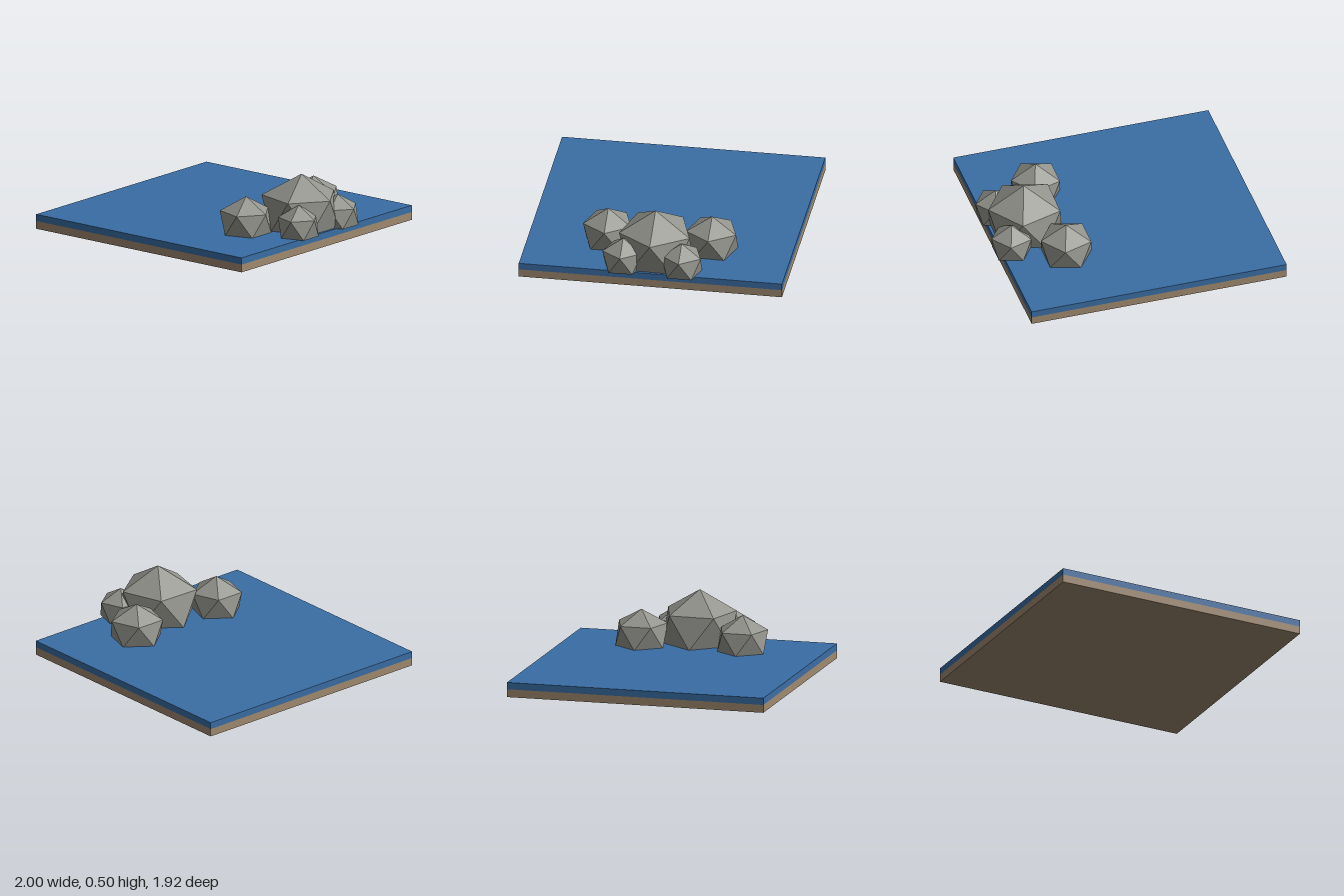
import * as THREE from 'three';

const DECK = 0.108; // height of the water surface

const material = (color) => new THREE.MeshStandardMaterial({ color, flatShading: true });

function slab(name, y0, y1, color) {
  const mesh = new THREE.Mesh(new THREE.BoxGeometry(1.925, y1 - y0, 1.925), material(color));
  mesh.position.set(-0.0375, (y0 + y1) / 2, 0);
  mesh.name = name;
  return mesh;
}

// Boulder: a peak, two staggered rings of five corners, and a flat underside
function boulder(name, x, z, top, shoulder, radii, mat) {
  const ring = (y, phase, scale) => radii.map((r, i) => {
    const a = (i + phase) * Math.PI * 2 / 5;
    return new THREE.Vector3(Math.cos(a) * r * scale, y, Math.sin(a) * r * scale);
  });
  const peak = new THREE.Vector3(0, top, 0);
  const base = new THREE.Vector3(0, DECK - 0.003, 0);
  const upper = ring(shoulder, 0, 1);
  const lower = ring(DECK - 0.003, 0.5, 0.98);
  const points = [];
  for (let i = 0; i < 5; i++) {
    const j = (i + 1) % 5;
    points.push(
      peak, upper[j], upper[i],
      upper[i], upper[j], lower[i],
      upper[j], lower[j], lower[i],
      base, lower[i], lower[j],
    );
  }
  const geometry = new THREE.BufferGeometry().setFromPoints(points);
  geometry.computeVertexNormals();
  const mesh = new THREE.Mesh(geometry, mat);
  mesh.position.set(x, 0, z);
  mesh.name = name;
  return mesh;
}

export function createModel() {
  const model = new THREE.Group();
  model.name = 'rockyWaterTile';

  // Ground and water layers
  model.add(slab('sandBed', 0, 0.058, 0xa08a70));
  model.add(slab('water', 0.058, DECK, 0x3a6ea5));

  // Rock cluster along the right edge
  const stone = material(0x95958f);
  const rocks = new THREE.Group();
  rocks.name = 'rocks';
  rocks.add(
    boulder('largeRock', 0.69, 0, 0.5, 0.34, [0.267, 0.267, 0.29, 0.28, 0.275], stone),
    boulder('frontRock', 0.485, 0.38, 0.375, 0.266, [0.184, 0.184, 0.19, 0.188, 0.186], stone),
    boulder('backRock', 0.487, -0.38, 0.375, 0.27, [0.19, 0.19, 0.196, 0.193, 0.195], stone),
    boulder('smallFrontRock', 0.838, 0.213, 0.335, 0.243, [0.15, 0.152, 0.148, 0.15, 0.148], stone),
    boulder('smallBackRock', 0.848, -0.217, 0.332, 0.243, [0.152, 0.148, 0.15, 0.152, 0.154], stone),
  );
  model.add(rocks);
  return model;
}
